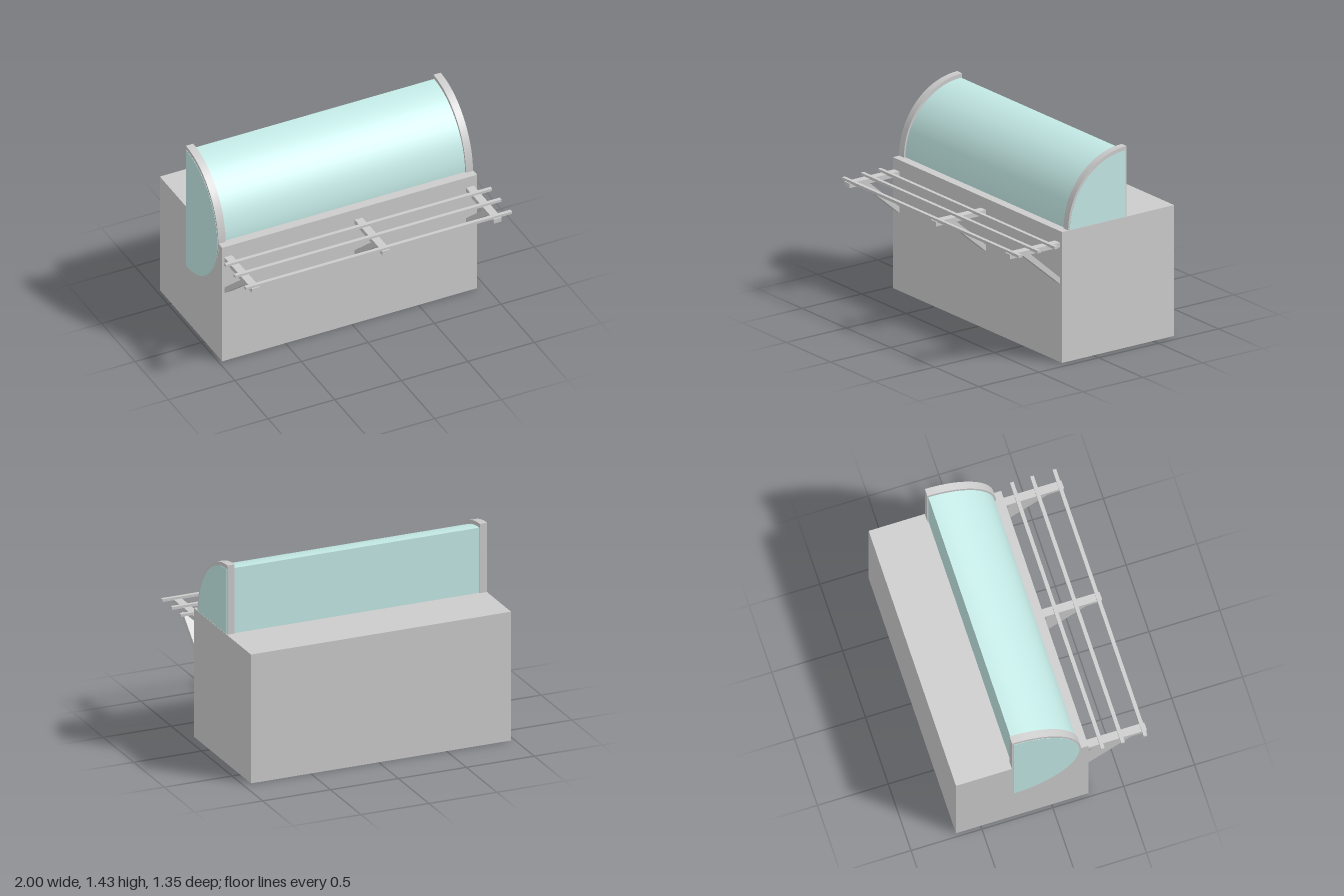
import * as THREE from 'three';
import { toCreasedNormals } from 'three/addons/utils/BufferGeometryUtils.js';

export function createModel() {
  const model = new THREE.Group();
  model.name = 'displayCounter';
  const grey = new THREE.MeshStandardMaterial({ color: 0xcccccc });
  const glass = new THREE.MeshStandardMaterial({ color: 0xc3e9e5 });

  const add = (name, geometry, material = grey) => {
    const mesh = new THREE.Mesh(geometry, material);
    mesh.name = name;
    model.add(mesh);
  };

  // Box given by its limits on each axis
  const box = (name, x0, x1, y0, y1, z0, z1) => {
    const g = new THREE.BoxGeometry(x1 - x0, y1 - y0, z1 - z0);
    g.translate((x0 + x1) / 2, (y0 + y1) / 2, (z0 + z1) / 2);
    add(name, g);
  };

  // Profile drawn in (z, y), extruded from x0 to x1
  const extrudeX = (shape, x0, x1) => {
    const g = new THREE.ExtrudeGeometry(shape, { depth: x1 - x0, bevelEnabled: false, curveSegments: 20 });
    g.rotateY(-Math.PI / 2);
    g.translate(x1, 0, 0);
    return toCreasedNormals(g, 0.6);
  };

  // Half ellipse with its flat side to the back
  const halfRound = (zBack, rz, ry) => {
    const s = new THREE.Shape();
    s.absellipse(zBack, 0.925, rz, ry, -Math.PI / 2, Math.PI / 2, false, 0);
    s.closePath();
    return s;
  };

  // Counter body
  box('counterBody', -0.975, 0.94, 0, 0.93, -0.675, 0.26);

  // Curved glass case, running through both end frames
  add('glassCase', extrudeX(halfRound(-0.272, 0.466, 0.475), -0.979, 0.938), glass);
  const frame = halfRound(-0.28, 0.487, 0.505);
  add('rightEndFrame', extrudeX(frame, -0.977, -0.922));
  add('leftEndFrame', extrudeX(frame, 0.883, 0.936));

  // Tray rail: arms with diagonal braces
  const brace = new THREE.Shape([[0.26, 0.555], [0.57, 0.82], [0.51, 0.82], [0.26, 0.6]]
    .map(([z, y]) => new THREE.Vector2(z, y)));
  for (const x of [-0.93, 0.05, 0.887]) {
    box('railArm', x - 0.029, x + 0.029, 0.815, 0.848, 0.25, 0.677);
    add('railBrace', extrudeX(brace, x - 0.029, x + 0.029));
  }

  // Long slats lying on the arms
  for (const z of [0.354, 0.496, 0.654]) {
    box('railSlat', -1, 1, 0.845, 0.864, z - 0.013, z + 0.013);
  }

  return model;
}
